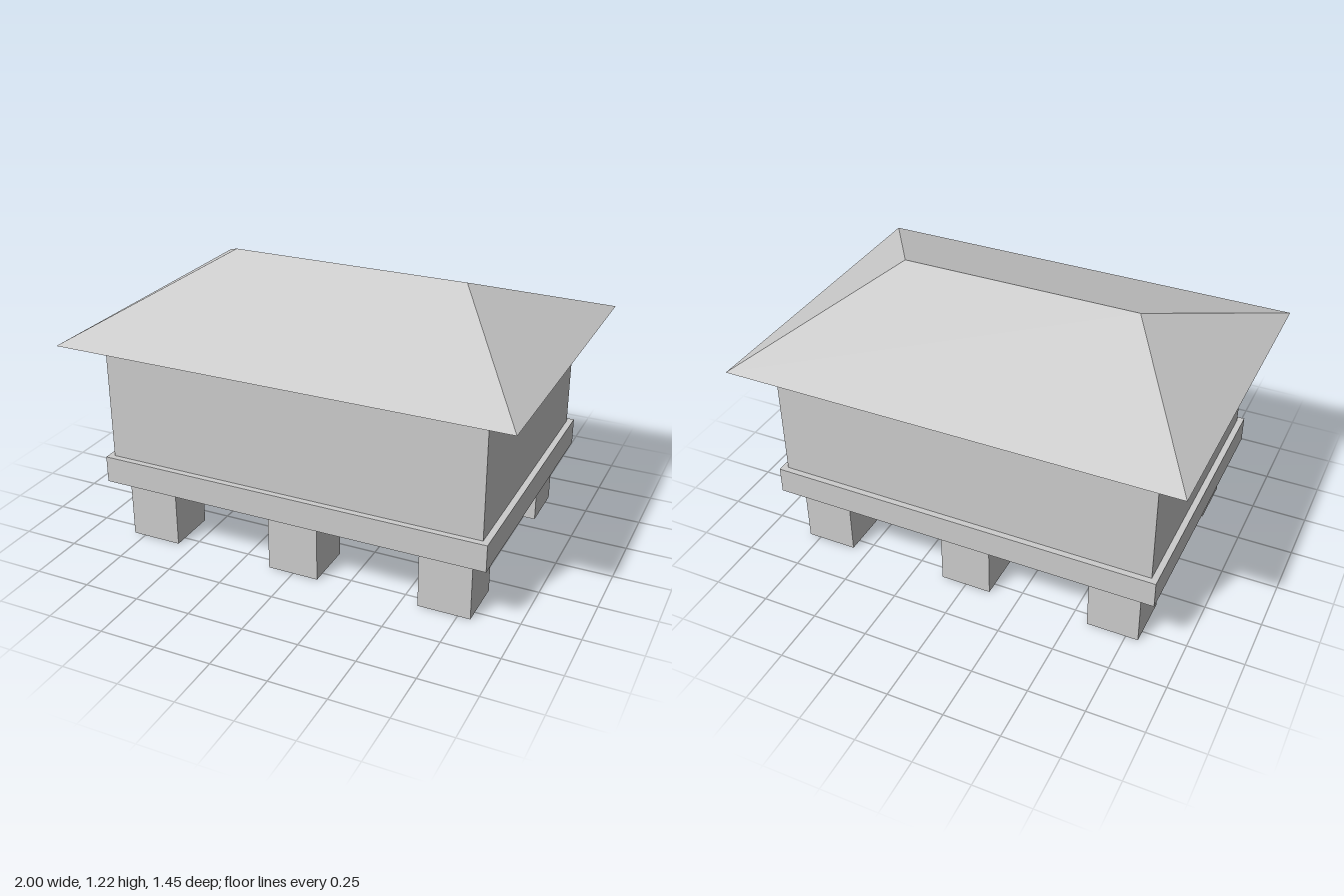
import * as THREE from 'three';

export function createModel() {
  const model = new THREE.Group();
  model.name = 'raisedStorehouse';
  const grey = new THREE.MeshStandardMaterial({ color: 0xcccccc, side: THREE.DoubleSide });
  grey.name = 'plainGrey';

  const addBox = (name, w, d, y0, y1, x = 0, z = 0) => {
    const mesh = new THREE.Mesh(new THREE.BoxGeometry(w, y1 - y0, d), grey);
    mesh.position.set(x, (y0 + y1) / 2, z);
    mesh.name = name;
    model.add(mesh);
  };

  // Six square stilts in two rows
  for (const x of [-0.69, 0, 0.69])
    for (const z of [-0.44, 0.44]) addBox('stilt', 0.23, 0.23, 0, 0.28, x, z);

  // Floor platform and walls
  addBox('platform', 1.76, 1.236, 0.28, 0.4);
  addBox('walls', 1.706, 1.182, 0.4, 0.92);

  // Thin hipped roof, open underneath
  const eave = 0.945, top = 1.22, w = 1, d = 0.727, r = 0.54;
  const points = [];
  for (const s of [1, -1]) {
    const a = [-s * w, eave, s * d], b = [s * w, eave, s * d], c = [s * w, eave, -s * d];
    const near = [s * r, top, 0], far = [-s * r, top, 0];
    points.push(a, b, near, a, near, far); // long slope
    points.push(b, c, near); // hip end
  }
  const roofGeometry = new THREE.BufferGeometry();
  roofGeometry.setAttribute('position', new THREE.Float32BufferAttribute(points.flat(), 3));
  roofGeometry.computeVertexNormals();
  const roof = new THREE.Mesh(roofGeometry, grey);
  roof.name = 'roof';
  model.add(roof);

  return model;
}
